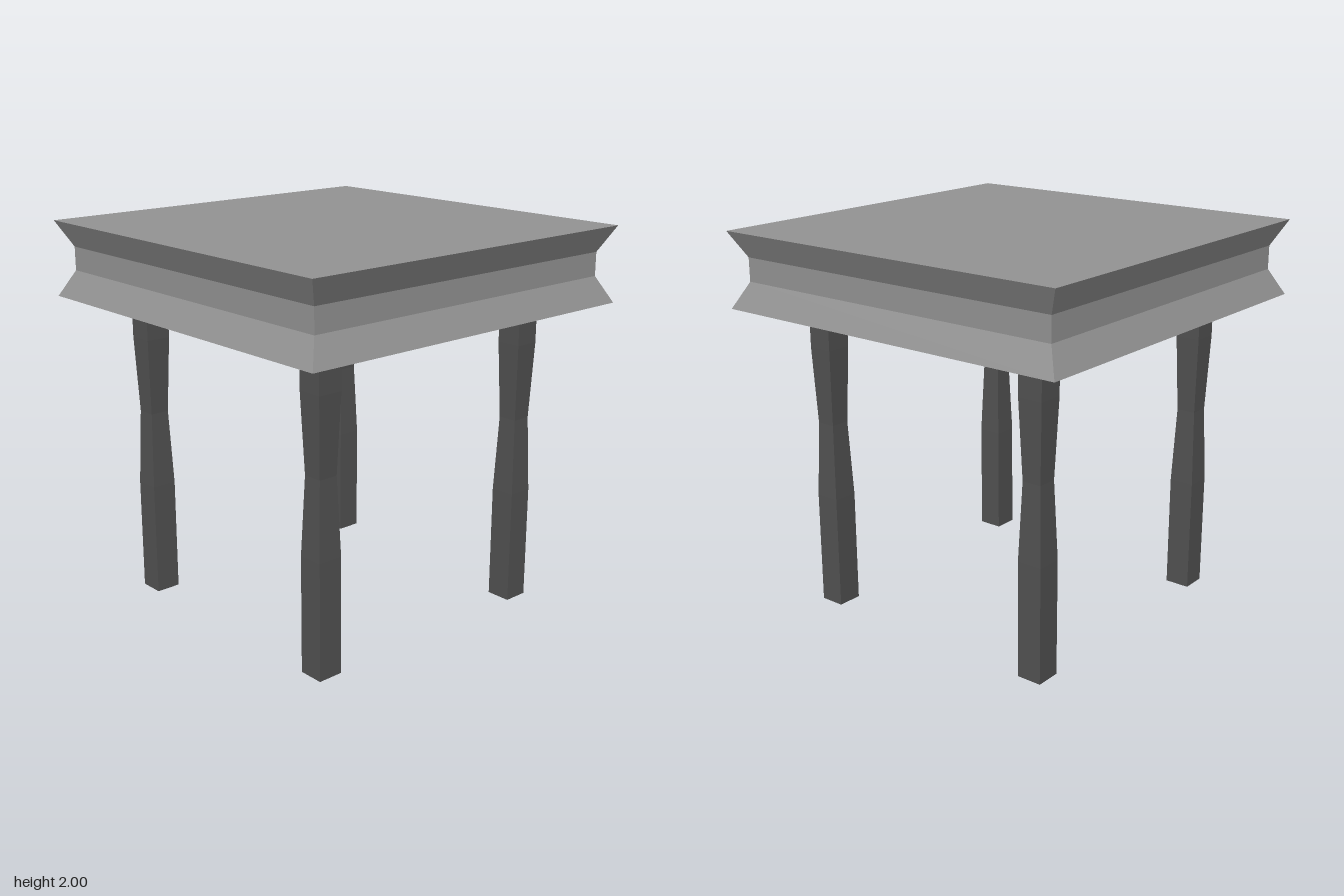
import * as THREE from 'three';

// Square solid from [halfWidth, y] sections, closed at both ends
function squareSolid(sections, material, name) {
  const points = [
    [0, sections[0][1]],
    ...sections,
    [0, sections[sections.length - 1][1]],
  ].map(([half, y]) => new THREE.Vector2(half * Math.SQRT2, y));
  const geometry = new THREE.LatheGeometry(points, 4, Math.PI / 4).toNonIndexed();
  geometry.computeVertexNormals();
  const mesh = new THREE.Mesh(geometry, material);
  mesh.name = name;
  return mesh;
}

export function createModel() {
  const model = new THREE.Group();
  model.name = 'table';
  const topMaterial = new THREE.MeshStandardMaterial({ color: 0x939393, flatShading: true });
  const legMaterial = new THREE.MeshStandardMaterial({ color: 0x515151, flatShading: true });

  // Thick top with a recessed band around its edge
  model.add(squareSolid(
    [[1, 1.61], [0.93, 1.745], [0.93, 1.867], [1, 2]], topMaterial, 'tableTop'));

  // Four square legs, narrowed in the middle, ending just below the top
  const legSections = [[0.066, 0], [0.066, 0.6], [0.051, 1], [0.066, 1.4], [0.066, 1.6]];
  for (const [z, end] of [[1, 'front'], [-1, 'back']]) {
    for (const [x, side] of [[1, 'Left'], [-1, 'Right']]) {
      const leg = squareSolid(legSections, legMaterial, `${end}${side}Leg`);
      leg.position.set(x * 0.666, 0, z * 0.666);
      model.add(leg);
    }
  }
  return model;
}
